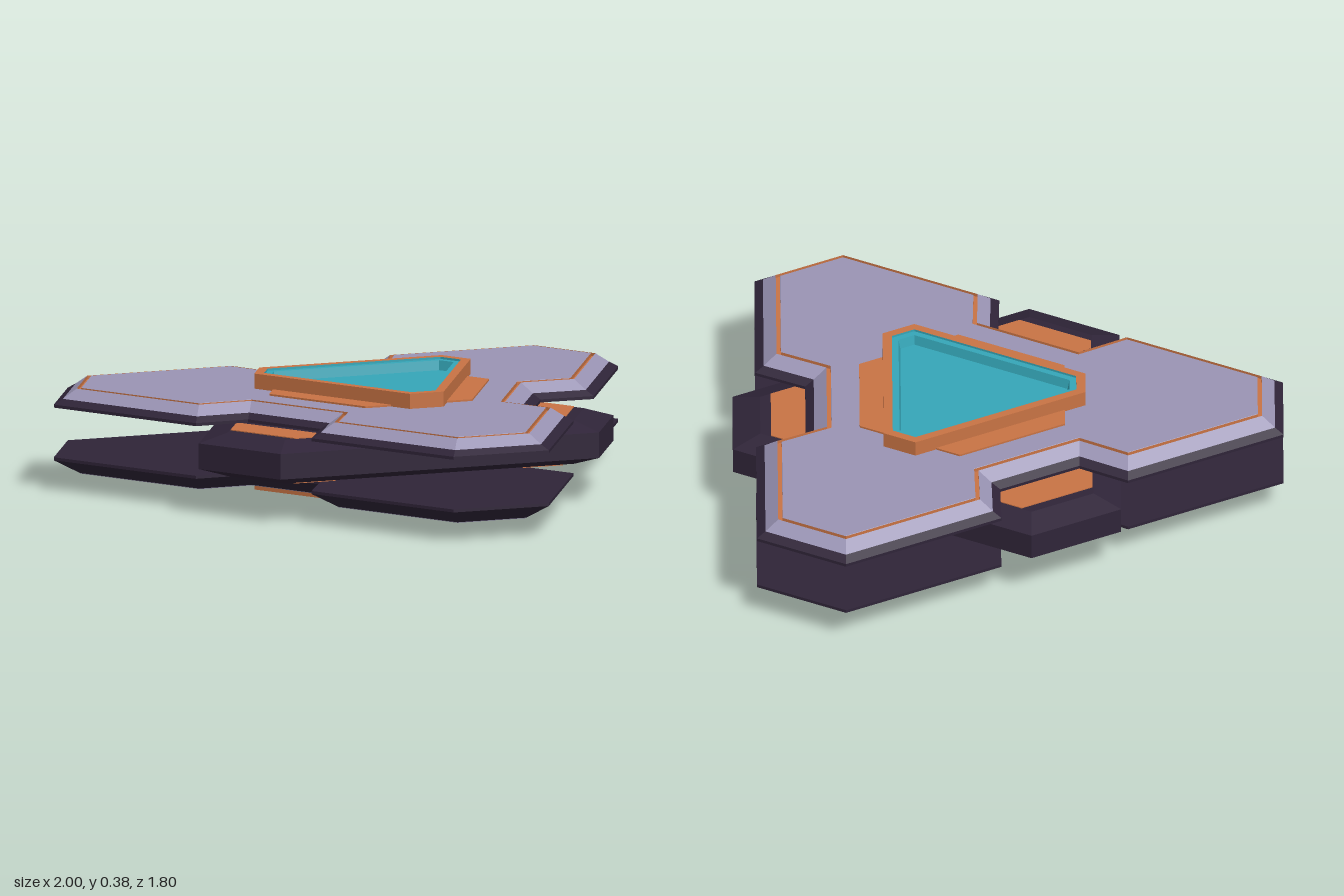
import * as THREE from 'three';

const CZ = -0.157;   // z of the three-fold axis
const H = 0.385;     // total height
const ARM = -Math.PI / 2, NOTCH = -Math.PI / 6;

// Plan point: t sideways and r outward along direction a
const at = (t, r, a) => new THREE.Vector2(
  r * Math.cos(a) - t * Math.sin(a), r * Math.sin(a) + t * Math.cos(a));

// Repeats [t, r, direction] points three times around the axis
function threeFold(points) {
  const out = [];
  for (let k = 0; k < 3; k++)
    for (const [t, r, a] of points) out.push(at(t, r, a + k * Math.PI * 2 / 3));
  return out;
}
const hexagon = (r, h, a) => threeFold([[-h, r, a], [h, r, a]]);

// Moves every edge of a counter-clockwise outline inwards by d
function inset(pts, d) {
  const n = pts.length;
  const normal = (p, q) => new THREE.Vector2(p.y - q.y, q.x - p.x).normalize();
  return pts.map((p, i) => {
    const n1 = normal(pts[(i + n - 1) % n], p), n2 = normal(p, pts[(i + 1) % n]);
    return p.clone().addScaledVector(n1.clone().add(n2), d / (1 + n1.dot(n2)));
  });
}

export function createModel() {
  const model = new THREE.Group();
  model.name = 'triangularDevice';

  const material = (name, color) => {
    const m = new THREE.MeshStandardMaterial({ color });
    m.name = name;
    return m;
  };
  const lavender = material('lavender panel', 0x9a94b4);
  const dark = material('dark plum', 0x2f2438);
  const orange = material('copper orange', 0xc87344);
  const teal = material('teal glass', 0x35a6b8);
  const blue = material('blue glass', 0x1d3f8f);

  // Skins an outline through [inset, y] steps; under = true mirrors it below
  function loft(name, outline, steps, mat, { top = false, bottom = false, under = false } = {}) {
    const pos = [];
    const rings = steps.map(([d, y]) => inset(outline, d).map(
      p => [p.x, under ? H - y : y, CZ - p.y]));
    const tri = (a, b, c) => under ? pos.push(...a, ...c, ...b) : pos.push(...a, ...b, ...c);
    const n = outline.length;
    for (let r = 0; r + 1 < rings.length; r++) {
      for (let i = 0; i < n; i++) {
        const j = (i + 1) % n, a = rings[r], b = rings[r + 1];
        tri(a[i], a[j], b[j]);
        tri(a[i], b[j], b[i]);
      }
    }
    const cap = (k, up) => {
      const ring = rings[k];
      const faces = THREE.ShapeUtils.triangulateShape(inset(outline, steps[k][0]), []);
      for (const [a, b, c] of faces)
        up ? tri(ring[a], ring[b], ring[c]) : tri(ring[a], ring[c], ring[b]);
    };
    if (top) cap(rings.length - 1, true);
    if (bottom) cap(0, false);
    const geo = new THREE.BufferGeometry();
    geo.setAttribute('position', new THREE.Float32BufferAttribute(pos, 3));
    geo.computeVertexNormals();
    const mesh = new THREE.Mesh(geo, mat);
    mesh.name = name;
    model.add(mesh);
  }

  const plate = threeFold([
    [-0.168, 1.055, ARM], [0.168, 1.055, ARM],
    [-0.24, 0.673, NOTCH], [-0.15, 0.51, NOTCH],
    [0.15, 0.51, NOTCH], [0.24, 0.673, NOTCH],
  ]);
  const core = hexagon(0.748, 0.17, NOTCH);
  const base = hexagon(0.333, 0.2, NOTCH);
  const frame = hexagon(0.407, 0.06, ARM);

  // Middle body, bevelled above and below
  loft('core', core, [[0.09, 0.12], [0, 0.15], [0, 0.235], [0.09, 0.265]], dark,
    { top: true, bottom: true });

  // Upper plate: dark rim, pale bevel, copper groove, raised panel
  loft('upperRim', plate, [[0, 0.275], [0, 0.285], [0.028, 0.302]], dark, { bottom: true });
  loft('upperBevel', plate, [[0.028, 0.302], [0.07, 0.333]], lavender);
  loft('upperGroove', plate, [[0.07, 0.333], [0.07, 0.322], [0.084, 0.322], [0.084, 0.334]], orange);
  loft('upperPanel', plate, [[0.084, 0.334], [0.085, 0.335]], lavender, { top: true });

  // Lower plate: wide dark bevel around a pale panel
  loft('lowerRim', plate, [[0, 0.275], [0, 0.285], [0.08, 0.333]], dark,
    { bottom: true, under: true });
  loft('lowerPanel', plate, [[0.08, 0.333], [0.081, 0.335]], lavender,
    { top: true, under: true });

  for (const under of [false, true]) {
    const side = under ? 'lower' : 'upper';

    // Copper inlays on the three exposed body ends
    for (let k = 0; k < 3; k++) {
      const a = NOTCH + k * Math.PI * 2 / 3;
      const inlay = [at(-0.205, 0.5, a), at(-0.135, 0.623, a), at(0.135, 0.623, a), at(0.205, 0.5, a)];
      loft(side + 'Inlay', inlay, [[0, 0.264], [0, 0.268]], orange, { top: true, under });
    }

    // Central copper base and raised frame
    loft(side + 'Base', base, [[0, 0.333], [0, 0.341]], orange, { top: true, under });
    loft(side + 'Frame', frame, [[0, 0.335], [0, 0.385], [under ? 0.018 : 0.03, 0.385]], orange, { under });
    if (under) loft('lowerFrameRing', frame, [[0.018, 0.385], [0.04, 0.385]], lavender, { under });

    // Recessed glass tray
    const d = under ? 0.04 : 0.03;
    loft(side + 'Glass', frame,
      [[d, 0.385], [d, 0.378], [d + 0.022, 0.378], [d + 0.028, 0.346]],
      under ? blue : teal, { top: true, under });
  }
  return model;
}
